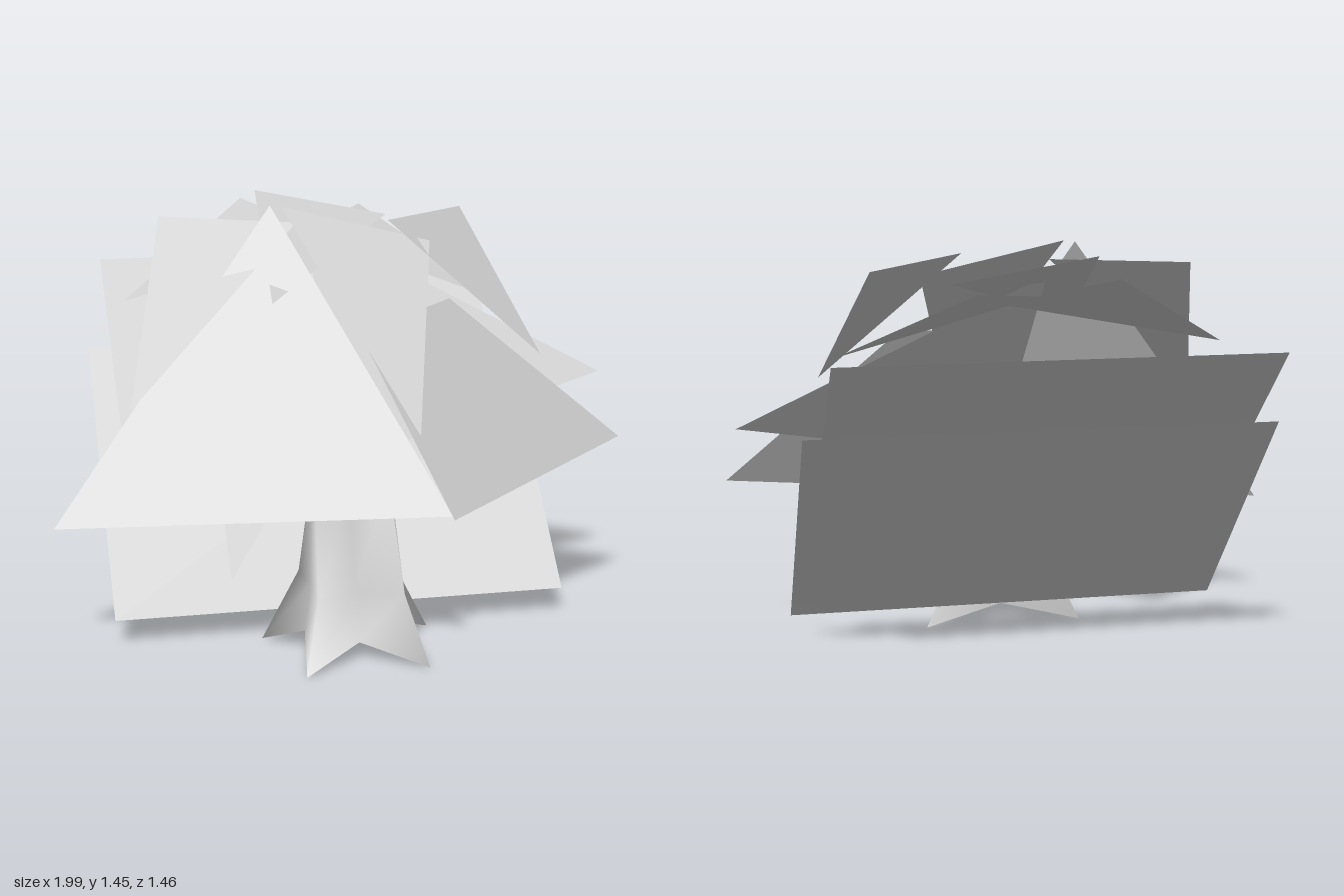
import * as THREE from 'three';

const grey = new THREE.MeshStandardMaterial({ color: 0xcccccc, side: THREE.DoubleSide });
grey.name = 'light grey';

// Flat card through three or four corners
function card(name, ...corners) {
  const g = new THREE.BufferGeometry();
  g.setAttribute('position', new THREE.Float32BufferAttribute(corners.flat(), 3));
  g.setIndex(corners.length === 4 ? [0, 1, 2, 0, 2, 3] : [0, 1, 2]);
  g.computeVertexNormals();
  const m = new THREE.Mesh(g, grey);
  m.name = name;
  return m;
}

// Smooth skin over rings of equal point count, listed counter-clockwise from above
function loft(name, rings) {
  const n = rings[0].length, index = [];
  for (let r = 0; r < rings.length - 1; r++) {
    for (let i = 0; i < n; i++) {
      const a = r * n + i, b = r * n + (i + 1) % n;
      index.push(a, b, b + n, a, b + n, a + n);
    }
  }
  const g = new THREE.BufferGeometry();
  g.setAttribute('position', new THREE.Float32BufferAttribute(rings.flat(2), 3));
  g.setIndex(index);
  g.computeVertexNormals();
  const m = new THREE.Mesh(g, grey);
  m.name = name;
  return m;
}

export function createModel() {
  const tree = new THREE.Group();
  tree.name = 'tree';

  // Two large slanted cards behind the crown
  tree.add(
    card('upperBackCard', [-0.725, 0.51, -0.05], [0.71, 0.51, -0.04], [0.695, 1.17, -0.73], [-0.74, 1.17, -0.73]),
    card('lowerBackCard', [-0.805, 0.09, 0.25], [0.775, 0.09, 0.25], [0.765, 0.89, -0.44], [-0.815, 0.89, -0.45])
  );

  // Leaf cards of the crown
  const crown = new THREE.Group();
  crown.name = 'crown';
  crown.add(
    card('frontRightLeaf', [-1, 0.44, 0.3], [0.24, 0.52, 0.69], [-0.23, 1.45, 0.05]),
    card('frontMiddleLeaf', [0.12, 0.8, 0.73], [0.3, 1.33, 0.15], [-0.2, 1.45, 0.09]),
    card('frontLeftLeaf', [0.28, 0.47, 0.575], [0.99, 0.62, 0.19], [0.355, 1.14, 0.21], [0, 1.07, 0.4]),
    card('upperLeftLeaf', [0.65, 0.955, 0.305], [0.52, 1.395, -0.25], [0.15, 1.405, 0.165]),
    card('upperRightLeaf', [-0.745, 0.84, 0.365], [-0.14, 1.39, 0.05], [-0.58, 1.395, -0.175]),
    card('topLeaf', [-0.265, 1.155, 0.28], [0.27, 1.36, -0.35], [-0.2, 1.45, -0.425]),
    card('backRightLeaf', [-0.71, 1.115, -0.12], [0.09, 1.28, -0.26], [-0.22, 1.4, -0.63]),
    card('backLeftLeaf', [-0.03, 1.31, -0.31], [0.62, 1.08, -0.03], [0.24, 1.365, -0.655]),
    card('sideLeftLeaf', [0, 0.63, 0.34], [0.955, 0.83, 0.06], [-0.07, 1.37, -0.235]),
    card('hangingLeaf', [-0.43, 0.255, 0.395], [-0.02, 0.9, 0.31], [-0.47, 0.92, 0.12])
  );
  tree.add(crown);

  // Trunk with four flared roots and hollows between them
  tree.add(loft('trunk', [
    [[-0.23, 0, 0.66], [-0.03, 0.06, 0.54], [0.18, 0, 0.66], [0.15, 0.07, 0.42],
      [0.27, 0, 0.28], [-0.02, 0.06, 0.34], [-0.31, 0, 0.28], [-0.19, 0.07, 0.42]],
    [[-0.17, 0.22, 0.55], [-0.03, 0.22, 0.48], [0.12, 0.22, 0.55], [0.12, 0.23, 0.42],
      [0.14, 0.25, 0.32], [-0.02, 0.25, 0.34], [-0.19, 0.25, 0.32], [-0.17, 0.23, 0.42]],
    [[-0.15, 0.56, 0.4], [-0.03, 0.56, 0.39], [0.1, 0.56, 0.4], [0.11, 0.56, 0.385],
      [0.11, 0.56, 0.37], [-0.02, 0.56, 0.37], [-0.16, 0.56, 0.37], [-0.16, 0.56, 0.385]]
  ]));

  return tree;
}
